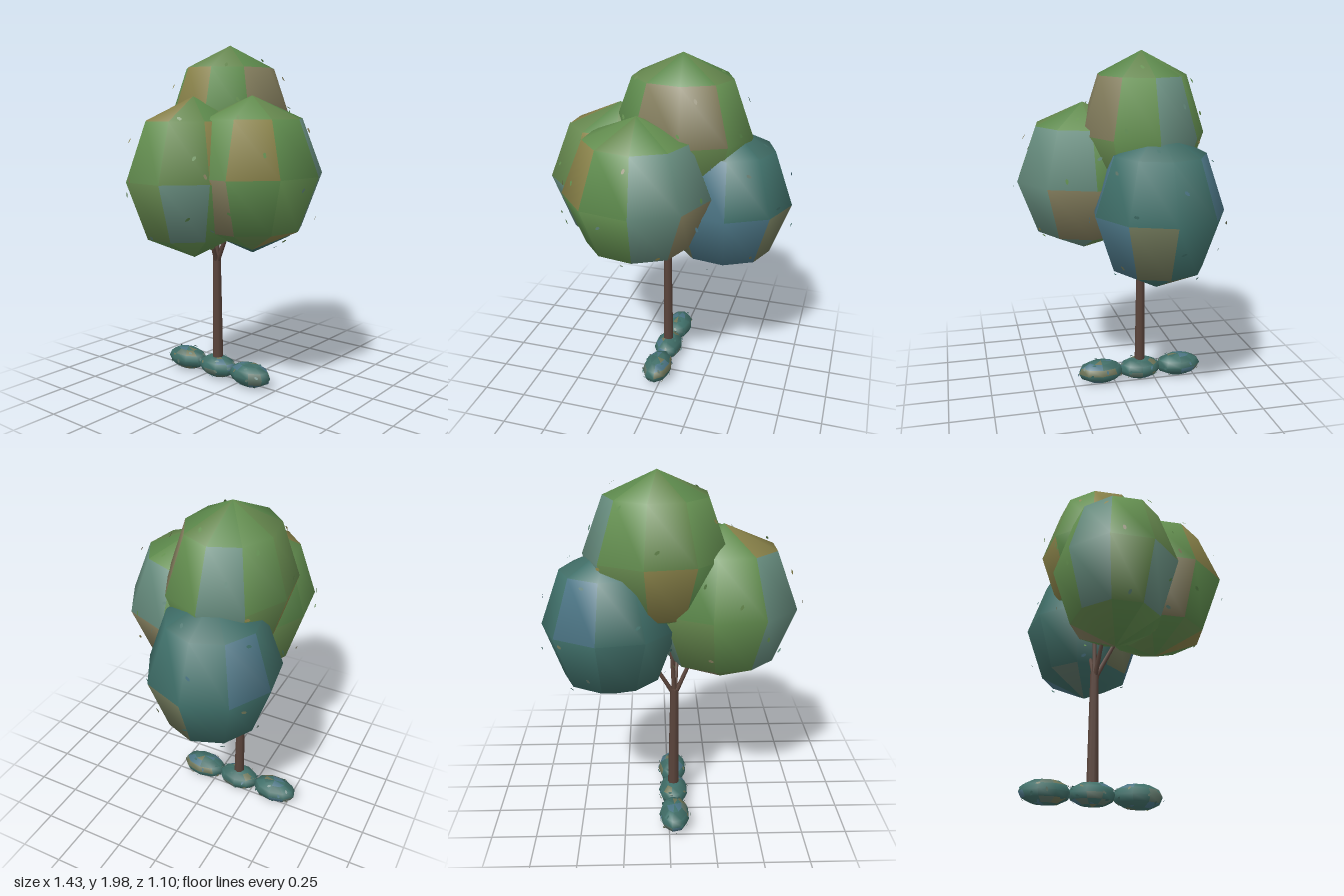
import * as THREE from 'three';

const mat = (color, side = THREE.FrontSide) =>
  new THREE.MeshStandardMaterial({ color, side });

// Small seeded generator for patch colours and loose leaves
function seeded(seed) {
  let s = seed;
  return () => (s = (s * 16807) % 2147483647) / 2147483647;
}

const GREEN = [0x648f50, 0x66884e, 0x5d8a4c, 0x827c5c, 0x878048, 0x658a7c];
const TEAL = [0x416e67, 0x40706a, 0x3d6963, 0x5e7468, 0x6e7558, 0x4b7484];

// Faceted ellipsoid whose quads take base or accent colours
function patchedBlob(name, radii, cols, rows, palette, rand) {
  const geo = new THREE.SphereGeometry(1, cols, rows, Math.PI);
  geo.scale(...radii);
  let start = 0;
  for (let r = 0; r < rows; r++) {
    for (let c = 0; c < cols; c++) {
      const count = r === 0 || r === rows - 1 ? 3 : 6;
      const accent = rand() > 0.74;
      geo.addGroup(start, count, Math.floor(rand() * 3) + (accent ? 3 : 0));
      start += count;
    }
  }
  const mesh = new THREE.Mesh(geo, palette.map((c) => mat(c)));
  mesh.name = name;
  return mesh;
}

// Tiny flat leaves hovering just off an ellipsoid
function looseLeaves(radii, count, size, lift, palette, rand) {
  const group = new THREE.Group();
  group.name = 'looseLeaves';
  const geo = new THREE.CircleGeometry(1, 6);
  geo.scale(size, size * 0.55, 1);
  const mats = palette.map((c) => mat(c, THREE.DoubleSide));
  for (let i = 0; i < count; i++) {
    const y = 0.85 - (1.7 * (i + 0.5)) / count;
    const a = i * 2.4 + rand() * 0.6;
    const ring = Math.sqrt(1 - y * y);
    const dir = new THREE.Vector3(ring * Math.cos(a), y, ring * Math.sin(a));
    const normal = dir.clone().divide(new THREE.Vector3(...radii)).normalize();
    const leaf = new THREE.Mesh(geo, mats[i % mats.length]);
    leaf.name = 'leaf';
    leaf.position.copy(dir).multiply(new THREE.Vector3(...radii))
      .addScaledVector(normal, rand() * lift);
    leaf.quaternion.setFromUnitVectors(new THREE.Vector3(0, 0, 1), normal);
    leaf.rotateZ(rand() * 3);
    leaf.rotateX((rand() - 0.5) * 0.5);
    group.add(leaf);
  }
  return group;
}

// Tapered round limb between two points
function limb(name, from, to, r0, r1, material) {
  const a = new THREE.Vector3(...from);
  const b = new THREE.Vector3(...to);
  const dir = b.clone().sub(a);
  const mesh = new THREE.Mesh(new THREE.CylinderGeometry(r1, r0, dir.length(), 8), material);
  mesh.name = name;
  mesh.position.copy(a).add(b).multiplyScalar(0.5);
  mesh.quaternion.setFromUnitVectors(new THREE.Vector3(0, 1, 0), dir.normalize());
  return mesh;
}

export function createModel() {
  const model = new THREE.Group();
  model.name = 'tree';
  const rand = seeded(4217);

  // Trunk and branches, one branch into each crown
  const bark = mat(0x5a443b);
  const fork = [-0.037, 0.72, -0.16];
  model.add(limb('trunk', [-0.03, 0.03, -0.16], [-0.037, 0.76, -0.16], 0.033, 0.024, bark));
  const tips = [[0.1, 0.95, -0.17], [-0.15, 0.97, -0.13], [-0.06, 1.0, -0.02], [-0.01, 1.2, -0.16]];
  tips.forEach((tip) => model.add(limb('branch', fork, tip, 0.014, 0.009, bark)));

  // Crowns: name, centre, radii, palette
  const crowns = [
    ['topCrown', [0.055, 1.55, -0.128], [0.4, 0.44, 0.345], GREEN],
    ['frontCrown', [-0.118, 1.28, 0.166], [0.415, 0.425, 0.39], GREEN],
    ['rightCrown', [-0.3, 1.255, -0.1], [0.42, 0.445, 0.345], GREEN],
    ['leftCrown', [0.31, 1.165, -0.157], [0.38, 0.435, 0.358], TEAL],
  ];
  for (const [name, centre, radii, palette] of crowns) {
    const group = new THREE.Group();
    group.name = name;
    group.position.set(...centre);
    group.add(patchedBlob('foliage', radii, 9, 4, palette, rand));
    group.add(looseLeaves(radii, 20, 0.016, 0.02, palette, rand));
    model.add(group);
  }

  // Row of low bushes at the foot of the trunk
  const bushes = [[0.085, 0.14, 0.07], [-0.16, 0.13, 0.066], [-0.405, 0.14, 0.068]];
  for (const [z, length, height] of bushes) {
    const radii = [0.086, height, length];
    const group = new THREE.Group();
    group.name = 'bush';
    group.position.set(-0.03, 0.08, z);
    group.add(patchedBlob('bushFoliage', radii, 9, 6, TEAL, rand));
    group.add(looseLeaves(radii, 18, 0.013, 0.007, TEAL, rand));
    model.add(group);
  }
  return model;
}
